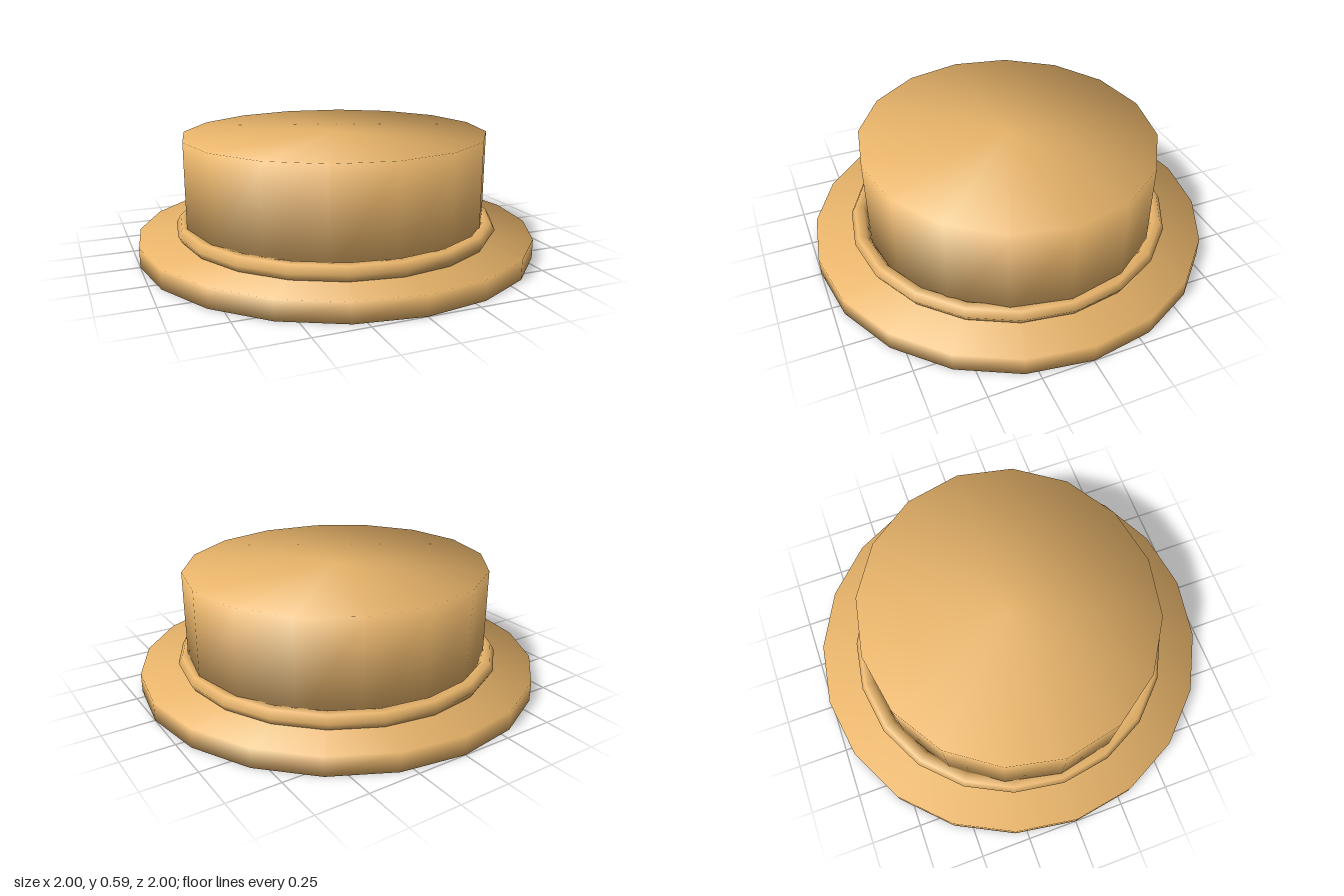
import * as THREE from 'three';

const felt = new THREE.MeshStandardMaterial({ color: 0xe8b46a });

// Closed elliptical drum whose normals run smoothly over its rims
function drum(name, rx, rz, y0, y1, sides) {
  const g = new THREE.CylinderGeometry(1, 1, 1, sides);
  const p = g.attributes.position;
  const n = new THREE.Vector3();
  for (let i = 0; i < p.count; i++) {
    n.set(p.getX(i), 2 * p.getY(i), p.getZ(i)).normalize();
    g.attributes.normal.setXYZ(i, n.x, n.y, n.z);
    p.setXYZ(i, p.getX(i) * rx, y0 + (p.getY(i) + 0.5) * (y1 - y0), p.getZ(i) * rz);
  }
  const mesh = new THREE.Mesh(g, felt);
  mesh.name = name;
  return mesh;
}

export function createModel() {
  const hat = new THREE.Group();
  hat.name = 'hat';

  // Flat round brim and slightly oval crown
  hat.add(drum('brim', 1, 1, 0, 0.095, 20));
  hat.add(drum('crown', 0.77, 0.73, 0.095, 0.588, 16));

  // Six-sided ring around the foot of the crown
  const band = new THREE.Mesh(new THREE.TorusGeometry(0.773, 0.041, 6, 20), felt);
  band.name = 'hatBand';
  band.rotation.x = -Math.PI / 2;
  band.position.y = 0.13;
  hat.add(band);

  return hat;
}
